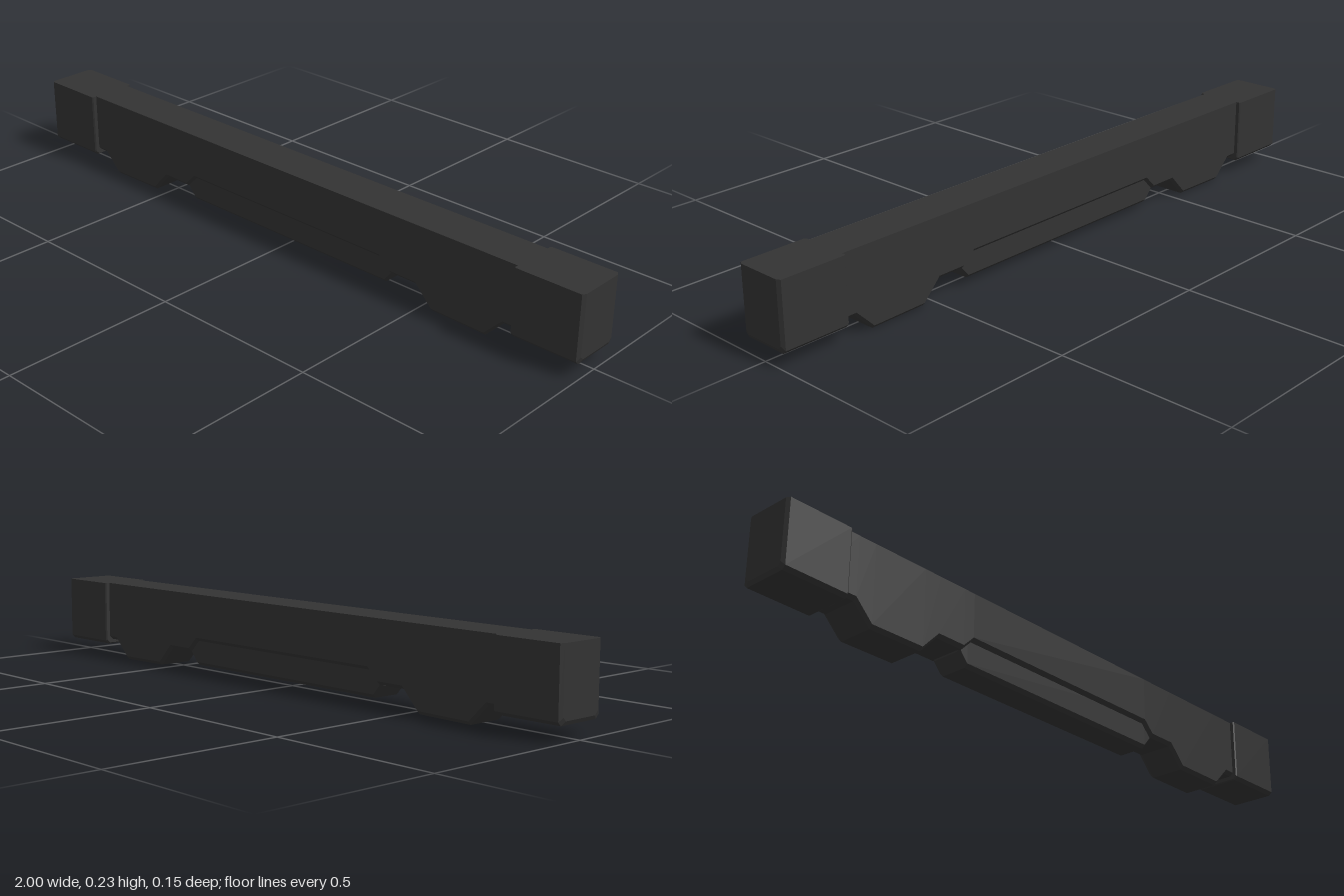
import * as THREE from 'three';

const TOP = 0.235;
const material = new THREE.MeshStandardMaterial({ color: 0x333333, flatShading: true });

// Closed solid through cross-sections along x: { x, w: half width, b: bottom, t: top, c: bottom chamfer }
function loft(name, sections) {
  const rings = sections.map(({ x, w, b, t = TOP, c = 0.01 }) => [
    [x, t, -w], [x, b + c, -w], [x, b, -w + c],
    [x, b, w - c], [x, b + c, w], [x, t, w],
  ]);
  const pos = [];
  const tri = (...pts) => pts.forEach((p) => pos.push(...p));
  const n = 6;
  for (let i = 0; i < rings.length - 1; i++) {
    for (let j = 0; j < n; j++) {
      const k = (j + 1) % n;
      const [r, s] = [rings[i], rings[i + 1]];
      tri(r[j], s[k], r[k]);
      tri(r[j], s[j], s[k]);
    }
  }
  const first = rings[0], last = rings[rings.length - 1];
  for (let k = 1; k < n - 1; k++) {
    tri(first[0], first[k], first[k + 1]);
    tri(last[0], last[k + 1], last[k]);
  }
  const geometry = new THREE.BufferGeometry();
  geometry.setAttribute('position', new THREE.Float32BufferAttribute(pos, 3));
  geometry.computeVertexNormals();
  const mesh = new THREE.Mesh(geometry, material);
  mesh.name = name;
  return mesh;
}

// Mirrors a half list of sections (x from centre outwards) to both sides
const mirrored = (half) => [...half.map((s) => ({ ...s, x: -s.x })).reverse(), ...half];

export function createModel() {
  const group = new THREE.Group();
  group.name = 'beam';

  // Main bar, with two feet and a notch in the middle of its underside
  const underside = [
    [0.36, 0.095], [0.395, 0.06], [0.485, 0.06], [0.54, 0.002],
    [0.71, 0], [0.765, 0.055], [0.9, 0.055],
  ];
  group.add(loft('bar', mirrored(underside.map(([x, b]) => ({ x, b, w: 0.062 })))));

  // Narrower insert hanging in the notch
  group.add(loft('insert', mirrored([
    { x: 0.37, b: 0.02, w: 0.05, t: 0.13 },
    { x: 0.4, b: 0.055, w: 0.05, t: 0.13 },
  ])));

  // Wider end blocks with softly bevelled ends
  const block = [
    { x: 0.8, w: 0.073, b: 0.044 },
    { x: 0.804, w: 0.076, b: 0.041 },
    { x: 0.994, w: 0.076, b: 0.041 },
    { x: 1, w: 0.065, b: 0.052 },
  ];
  group.add(loft('leftEndBlock', block));
  group.add(loft('rightEndBlock', block.map((s) => ({ ...s, x: -s.x })).reverse()));

  return group;
}
